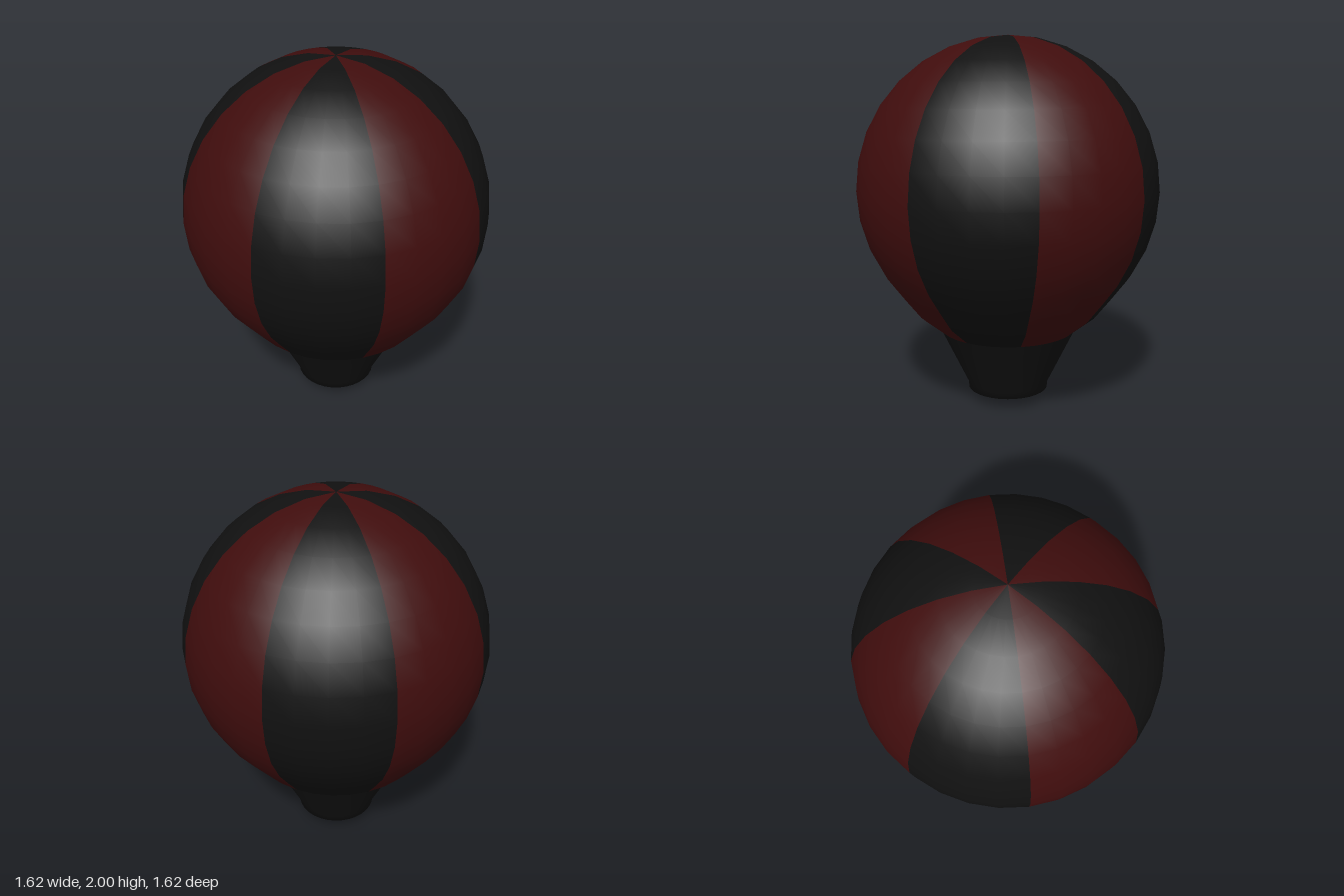
import * as THREE from 'three';

const RADIUS = 0.812;
const CENTRE_Y = 2 - RADIUS;
const PANELS = 8;
const PANEL_ANGLE = (Math.PI * 2) / PANELS;
const STEP = Math.PI / 16;

export function createModel() {
  const model = new THREE.Group();
  model.name = 'hotAirBalloon';
  const red = new THREE.MeshStandardMaterial({ color: 0x400d0d });
  const black = new THREE.MeshStandardMaterial({ color: 0x111111 });

  // Envelope profile: flared shoulder, then a sphere up to the crown
  const envelope = [
    new THREE.Vector2(0.375, 0.41),
    new THREE.Vector2(0.5, 0.51),
    new THREE.Vector2(0.587, 0.62),
  ];
  for (let i = -3; i <= 8; i++) {
    const a = i * STEP;
    const r = i === 8 ? 0 : RADIUS * Math.cos(a);
    envelope.push(new THREE.Vector2(r, CENTRE_Y + RADIUS * Math.sin(a)));
  }

  // Alternating gores, four facets each
  for (let i = 0; i < PANELS; i++) {
    const start = i * PANEL_ANGLE - STEP;
    const isRed = i % 2 === 0;
    const panel = new THREE.Mesh(
      new THREE.LatheGeometry(envelope, 4, start, PANEL_ANGLE),
      isRed ? red : black
    );
    panel.name = (isRed ? 'redPanel' : 'blackPanel') + (Math.floor(i / 2) + 1);
    model.add(panel);
  }

  // Tapered neck closed by a shallow rounded base
  const neckProfile = [
    [0, 0], [0.11, 0.017], [0.22, 0.063], [0.224, 0.1], [0.375, 0.41],
  ].map(([r, y]) => new THREE.Vector2(r, y));
  const neck = new THREE.Mesh(new THREE.LatheGeometry(neckProfile, 32), black);
  neck.name = 'neck';
  model.add(neck);

  return model;
}
